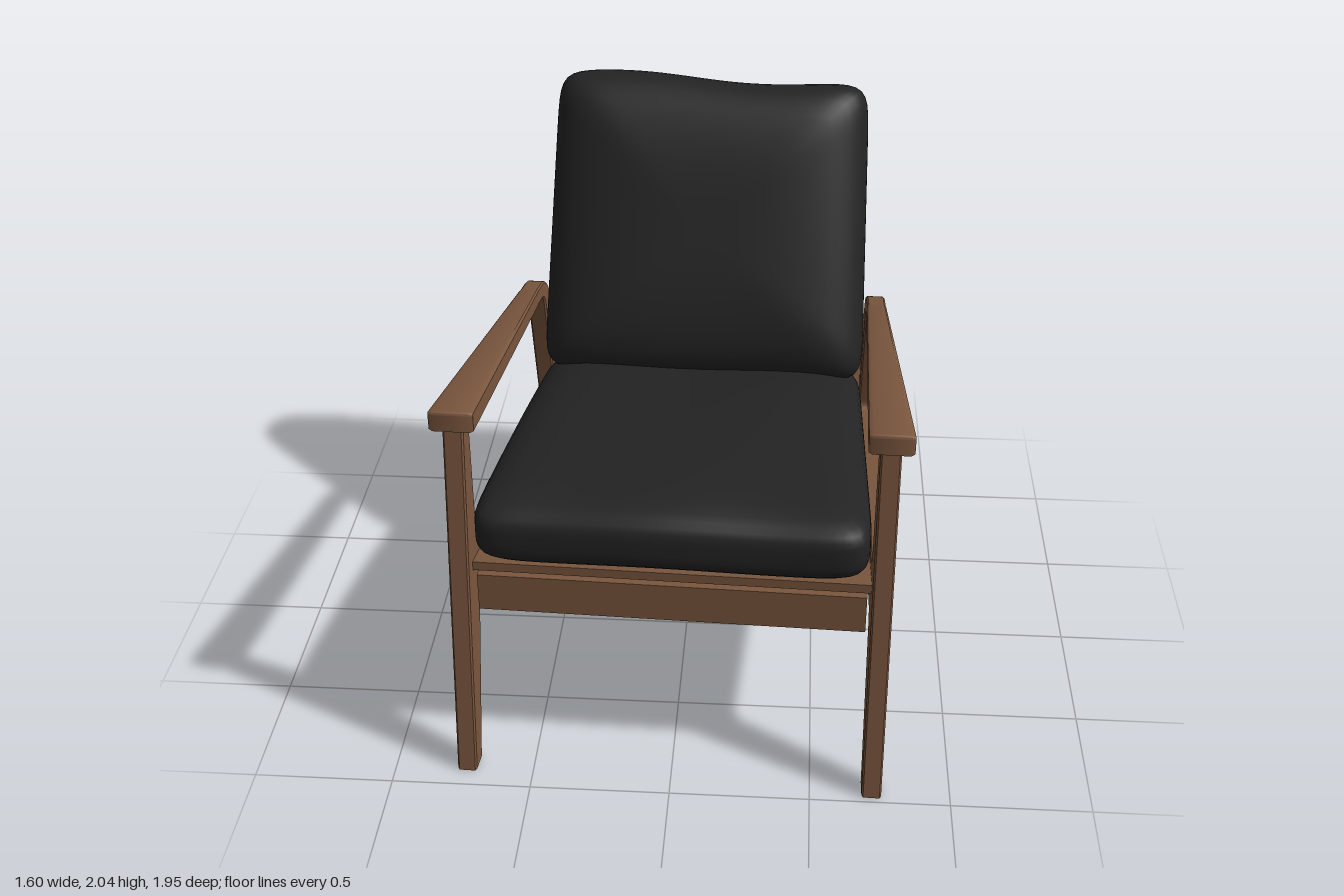
import * as THREE from 'three';
import { mergeVertices, toCreasedNormals } from 'three/addons/utils/BufferGeometryUtils.js';

const wood = new THREE.MeshStandardMaterial({ color: 0x7a563e });
wood.name = 'walnut wood';
const fabric = new THREE.MeshStandardMaterial({ color: 0x232323 });
fabric.name = 'black fabric';

// The side frames converge slightly towards the back
const frameX = z => 0.6825 + 0.05 * z;

function makeMesh(name, geometry, material) {
  const mesh = new THREE.Mesh(geometry, material);
  mesh.name = name;
  return mesh;
}

// Moves every vertex by a rule that edits the vector in place
function reshape(geometry, rule) {
  const pos = geometry.attributes.position;
  const v = new THREE.Vector3();
  for (let i = 0; i < pos.count; i++) {
    rule(v.fromBufferAttribute(pos, i));
    pos.setXYZ(i, v.x, v.y, v.z);
  }
  geometry.computeVertexNormals();
  return geometry;
}

// Closed outline from [a, b, radius] corners
function roundedShape(corners) {
  const shape = new THREE.Shape();
  const n = corners.length;
  corners.forEach(([a, b, r = 0], i) => {
    const p = new THREE.Vector2(a, b);
    const toward = q => p.clone().add(new THREE.Vector2(q[0], q[1]).sub(p).setLength(r));
    const start = r ? toward(corners[(i + n - 1) % n]) : p;
    if (i === 0) shape.moveTo(start.x, start.y);
    else shape.lineTo(start.x, start.y);
    if (r) {
      const end = toward(corners[(i + 1) % n]);
      shape.quadraticCurveTo(a, b, end.x, end.y);
    }
  });
  shape.closePath();
  return shape;
}

// Extrudes a (z, y) outline sideways and lays it along one converging frame
function sidePart(corners, side, halfWidth) {
  const bevel = 0.006, depth = 0.07 - 2 * bevel;
  const geo = new THREE.ExtrudeGeometry(roundedShape(corners), {
    depth, curveSegments: 8, bevelSize: bevel, bevelThickness: bevel, bevelOffset: -bevel, bevelSegments: 1,
  });
  geo.translate(0, 0, -depth / 2);
  reshape(geo, v => {
    const z = v.x;
    v.set(side * frameX(z) - v.z * halfWidth(z) / 0.035, v.y, z);
  });
  return toCreasedNormals(geo, 0.5);
}

// Front leg, side rail, back leg and the bend into the arm
const frameOutline = [
  [0.953, 0], [0.82, 1.385], [0.745, 1.385], [0.745, 0.862, 0.06],
  [-0.53, 0.735, 0.045], [-0.415, 1.243, 0.05], [-0.3, 1.254], [-0.3, 1.318],
  [-0.475, 1.298, 0.1], [-0.943, 0], [-0.868, 0], [-0.605, 0.548, 0.09], [0.745, 0.685, 0.06], [0.875, 0],
];
const armOutline = [[0.84, 1.37], [0.84, 1.445, 0.015], [-0.31, 1.318], [-0.31, 1.253]];

// Smooth pillow: a cube rounded by a norm, crisp in plan and softer in thickness
function pillow(softness, rule) {
  let geo = new THREE.BoxGeometry(2, 2, 2, 32, 14, 32);
  geo.deleteAttribute('uv');
  geo.deleteAttribute('normal');
  geo = mergeVertices(geo);
  return reshape(geo, v => {
    const plan = Math.pow(Math.abs(v.x) ** 14 + Math.abs(v.z) ** 14, softness / 14);
    v.divideScalar(Math.pow(plan + Math.abs(v.y) ** softness, 1 / softness));
    rule(v);
  });
}

export function createModel() {
  const model = new THREE.Group();
  model.name = 'armchair';
  const chair = new THREE.Group();
  chair.name = 'chair';
  model.add(chair);

  // Side frames and widening armrests
  for (const [side, label] of [[1, 'left'], [-1, 'right']]) {
    chair.add(makeMesh(label + 'SideFrame', sidePart(frameOutline, side, () => 0.035), wood));
    const armHalf = z => THREE.MathUtils.mapLinear(z, -0.31, 0.84, 0.036, 0.076);
    chair.add(makeMesh(label + 'Armrest', sidePart(armOutline, side, armHalf), wood));
  }

  // Front rail below the seat panel
  const rail = new THREE.BoxGeometry(1.35, 0.145, 0.05);
  rail.translate(0, 0.711, 0.8);
  chair.add(makeMesh('frontRail', rail, wood));

  // Sloping seat panel that narrows towards the back
  const seat = new THREE.BoxGeometry(2, 0.034, 1.32);
  seat.translate(0, 0.735, 0.16);
  reshape(seat, v => v.set(v.x * (frameX(v.z) - 0.03), v.y + 0.1 * v.z, v.z));
  chair.add(makeMesh('seatPanel', seat, wood));

  // Reclined back panel, tapered towards the top
  const lean = Math.atan(0.42);
  const panel = new THREE.ExtrudeGeometry(
    roundedShape([[-0.625, 0], [0.625, 0], [0.62, 0.29], [0.41, 1.085, 0.015], [-0.41, 1.085, 0.015], [-0.62, 0.29]]),
    { depth: 0.034, bevelEnabled: false });
  panel.translate(0, 0, -0.017).rotateX(-lean).translate(0, 0.69, -0.49);
  chair.add(makeMesh('backPanel', panel, wood));

  // Seat cushion, crowned on top and following the seat slope
  chair.add(makeMesh('seatCushion', pillow(4, v => {
    const z = 0.195 + 0.7 * v.z;
    const crown = v.y > 0 ? 0.025 * v.y * (1 - v.z * v.z) : 0;
    const wave = 0.006 * Math.sin(5 * v.x + 2 * v.z);
    v.set(v.x * (0.642 + 0.05 * z), 0.965 + 0.09 * (z - 0.75) + 0.145 * v.y + crown + wave, z + wave);
  }), fabric));

  // Back cushion leaning on the panel; built flat, then tilted up
  const back = pillow(2.8, v => {
    const along = -v.z;
    const wave = 0.012 * Math.sin(4 * v.x + 0.5);
    v.set(
      v.x * (0.612 - 0.015 * along),
      0.49 + 0.575 * along - (0.014 * v.x + wave) * Math.max(along, 0),
      0.205 + 0.215 * v.y + 0.01 * Math.sin(3 * v.x) * along);
  });
  back.rotateX(-lean).translate(0, 0.95, -0.59);
  chair.add(makeMesh('backCushion', back, fabric));

  // The chair stands turned by a small angle
  chair.rotation.y = -0.036;
  chair.position.x = 0.025;
  return model;
}
